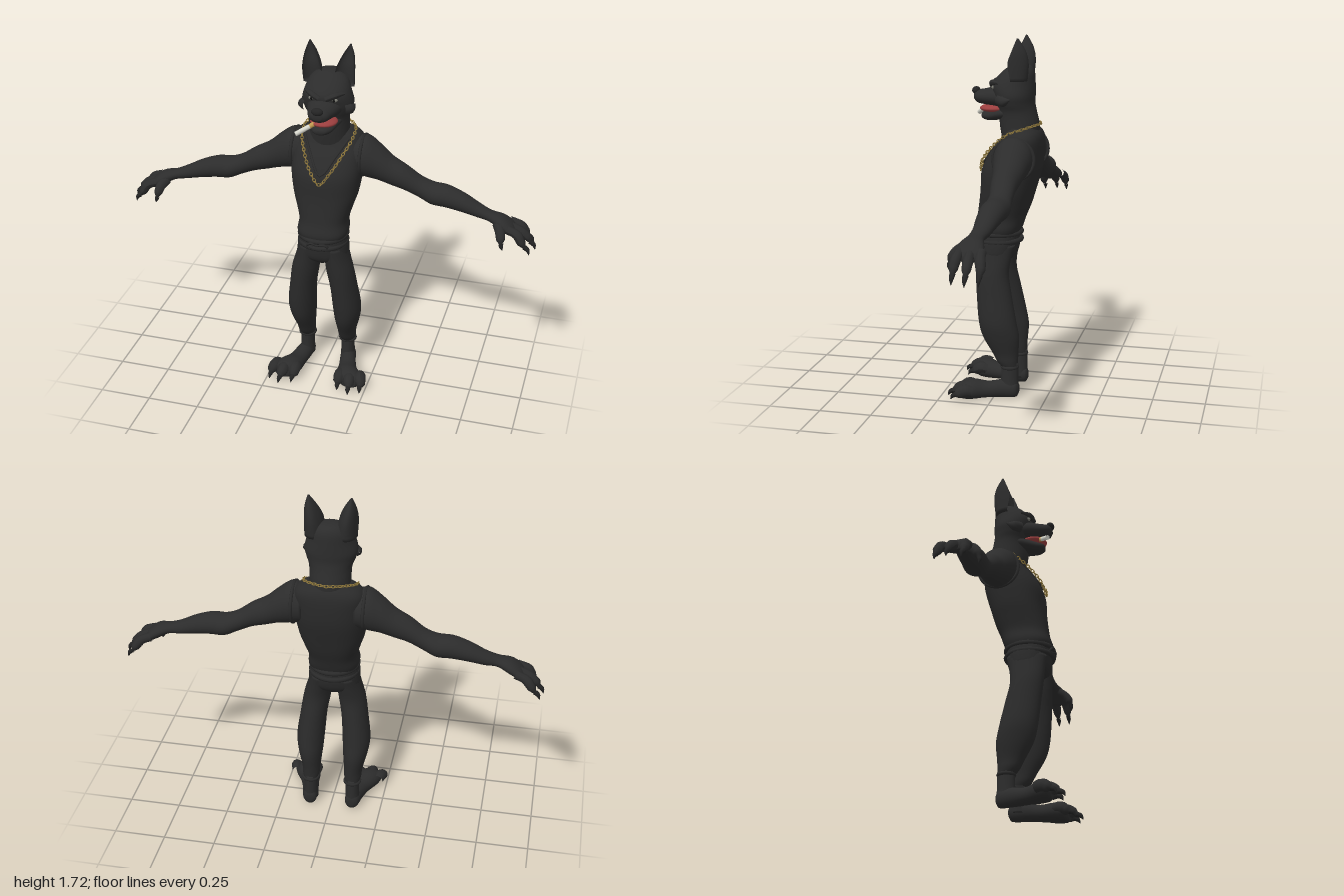
import * as THREE from 'three';

const mat = (name, color, extra = {}) => Object.assign(new THREE.MeshStandardMaterial({ color, ...extra }), { name });
const fur = mat('black fur', 0x2c2c2c);
const cloth = mat('black cloth', 0x2a2a2a);
const claw = mat('dark claw', 0x242424);
const gold = mat('gold', 0x8f783c);
const red = mat('mouth red', 0x9c3f3f);
const white = mat('paper white', 0xd6d6cc);
const tan = mat('filter tan', 0xc09a50);
const eyeGrey = mat('eye grey', 0x77776f);
const black = mat('pupil black', 0x101010);

const V = (x, y, z) => new THREE.Vector3(x, y, z);

// Smooth skin over rings [x, y, z, a, b] set square to one axis; rows must run along +axis.
// side mirrors x, power < 1 makes rings boxier, front scales the +z half (negative = hollow).
function loft(rows, axis = 'y', { side = 1, power = 1, front = 1, seg = 28, steps = 5 } = {}) {
  const mid = new THREE.CatmullRomCurve3(rows.map(r => V(r[0], r[1], r[2])), false, 'catmullrom');
  const rad = new THREE.CatmullRomCurve3(rows.map(r => V(r[3], r[4], 0)), false, 'catmullrom');
  const n = (rows.length - 1) * steps, pos = [], idx = [];
  for (let i = -1; i <= n + 1; i++) {
    const t = Math.min(Math.max(i / n, 0), 1), c = mid.getPoint(t), r = rad.getPoint(t);
    const k = i < 0 || i > n ? 0 : 1;
    for (let j = 0; j < seg; j++) {
      const q = j / seg * Math.PI * 2, cs = Math.cos(q), sn = Math.sin(q);
      const u = Math.sign(cs) * Math.abs(cs) ** power * Math.max(r.x, 0) * k;
      let v = Math.sign(sn) * Math.abs(sn) ** power * Math.max(r.y, 0) * k;
      if (axis === 'y' && v > 0) v *= front;
      const p = axis === 'y' ? V(c.x + u, c.y, c.z + v)
        : axis === 'x' ? V(c.x, c.y + u, c.z - v) : V(c.x + u, c.y - v, c.z);
      pos.push(p.x * side, Math.max(p.y, 0), p.z);
    }
  }
  for (let i = 0; i < n + 2; i++) for (let j = 0; j < seg; j++) {
    const a = i * seg + j, b = i * seg + (j + 1) % seg, c = a + seg, d = b + seg;
    if (side > 0) idx.push(a, c, b, b, c, d);
    else idx.push(a, b, c, b, d, c);
  }
  const g = new THREE.BufferGeometry();
  g.setAttribute('position', new THREE.Float32BufferAttribute(pos, 3));
  g.setIndex(idx);
  g.computeVertexNormals();
  return g;
}

// Tube along points whose radius follows a list.
function taper(points, radii, side = 1) {
  const curve = new THREE.CatmullRomCurve3(points.map(p => V(p[0] * side, p[1], p[2])));
  const n = 16, ring = 10, g = new THREE.TubeGeometry(curve, n, 1, ring);
  const p = g.attributes.position, v = V(0, 0, 0);
  for (let i = 0; i <= n; i++) {
    const f = i / n * (radii.length - 1), k = Math.min(Math.floor(f), radii.length - 2);
    const r = THREE.MathUtils.lerp(radii[k], radii[k + 1], f - k), c = curve.getPointAt(i / n);
    for (let j = 0; j <= ring; j++) {
      const m = i * (ring + 1) + j;
      v.fromBufferAttribute(p, m).sub(c).multiplyScalar(r).add(c);
      p.setXYZ(m, v.x, v.y, v.z);
    }
  }
  g.computeVertexNormals();
  return g;
}

export function createModel() {
  const model = new THREE.Group();
  model.name = 'dogFigure';
  const add = (name, geo, material) => {
    const m = new THREE.Mesh(geo, material);
    m.name = name;
    model.add(m);
    return m;
  };
  const blob = (name, material, x, y, z, rx, ry, rz) => {
    const m = add(name, new THREE.SphereGeometry(1, 20, 14), material);
    m.position.set(x, y, z);
    m.scale.set(rx, ry, rz);
    return m;
  };

  // Tank top
  add('tankTop', loft([[0, 0.79, 0.01, 0.116, 0.105], [0, 0.82, 0.006, 0.122, 0.114], [0, 0.87, -0.01, 0.117, 0.115],
    [0, 0.93, -0.027, 0.133, 0.122], [0, 1.0, -0.042, 0.154, 0.128], [0, 1.1, -0.06, 0.168, 0.138],
    [0, 1.18, -0.085, 0.169, 0.122], [0, 1.24, -0.11, 0.166, 0.096], [0, 1.275, -0.115, 0.145, 0.08],
    [0, 1.3, -0.112, 0.1, 0.06]], 'y', { power: 0.8, seg: 40 }), cloth);
  add('neckline', taper([[-0.105, 1.27, -0.045], [-0.06, 1.2, 0.018], [0, 1.12, 0.077], [0.06, 1.2, 0.018], [0.105, 1.27, -0.045]],
    [0.006, 0.006]), cloth);

  // Trousers
  add('hips', loft([[0, 0.645, 0.012, 0.03, 0.05], [0, 0.68, 0.012, 0.115, 0.088], [0, 0.73, 0.01, 0.124, 0.103],
    [0, 0.79, 0.01, 0.115, 0.105]], 'y', { power: 0.9 }), cloth);
  for (const y of [0.757, 0.793]) {
    const band = add('waistband', new THREE.TorusGeometry(0.112, 0.012, 8, 40), cloth);
    band.rotation.x = Math.PI / 2;
    band.position.set(0, y, 0.01);
  }
  for (const s of [-1, 1])
    add('drawstring', taper([[0, 0.775, 0.125], [0.03, 0.785, 0.128], [0.05, 0.765, 0.118], [0.02, 0.762, 0.128]], [0.006, 0.006], s), cloth);

  // Head, muzzle and jaw
  add('neckAndHead', loft([[0, 1.2, -0.1, 0.1, 0.08], [0, 1.3, -0.095, 0.096, 0.093], [0, 1.37, -0.085, 0.098, 0.088],
    [0, 1.41, -0.075, 0.112, 0.09], [0, 1.45, -0.07, 0.122, 0.096], [0, 1.5, -0.066, 0.11, 0.1],
    [0, 1.55, -0.085, 0.09, 0.078], [0, 1.58, -0.098, 0.055, 0.05], [0, 1.59, -0.1, 0.02, 0.02]]), fur);
  add('muzzle', loft([[0, 1.435, -0.04, 0.09, 0.055], [0, 1.437, 0.02, 0.075, 0.047], [0, 1.435, 0.07, 0.058, 0.037],
    [0, 1.435, 0.105, 0.045, 0.03], [0, 1.437, 0.122, 0.022, 0.016]], 'z'), fur);
  add('lowerJaw', loft([[0, 1.37, -0.06, 0.085, 0.035], [0, 1.36, 0, 0.068, 0.032], [0, 1.348, 0.05, 0.05, 0.025],
    [0, 1.347, 0.08, 0.03, 0.016], [0, 1.349, 0.088, 0.01, 0.006]], 'z'), fur);
  blob('mouth', red, 0.008, 1.383, 0.03, 0.064, 0.019, 0.064);
  blob('nose', claw, 0, 1.462, 0.115, 0.028, 0.018, 0.019);

  for (const s of [-1, 1]) {
    // Face
    blob('eye', eyeGrey, s * 0.054, 1.485, 0.018, 0.015, 0.009, 0.012);
    blob('pupil', black, s * 0.053, 1.485, 0.027, 0.006, 0.007, 0.005);
    add('brow', taper([[0.015, 1.49, 0.035], [0.05, 1.506, 0.026], [0.092, 1.51, -0.012]], [0.012, 0.014, 0.006], s), fur);
    add('cheekTuft', taper([[0.085, 1.43, -0.02], [0.112, 1.428, -0.04], [0.128, 1.438, -0.075]], [0.028, 0.024, 0.001], s), fur);
    add('ear', loft([[0.072, 1.52, -0.075, 0.048, 0.07], [0.079, 1.6, -0.062, 0.043, 0.09], [0.088, 1.66, -0.08, 0.028, 0.06],
      [0.096, 1.715, -0.1, 0.003, 0.008]], 'y', { side: s, front: -0.35 }), fur);

    // Arm with palm
    add('arm', loft([[0.12, 1.17, -0.1, 0.09, 0.085], [0.18, 1.17, -0.1, 0.102, 0.09], [0.24, 1.145, -0.1, 0.087, 0.078],
      [0.3, 1.11, -0.1, 0.07, 0.066], [0.37, 1.08, -0.1, 0.06, 0.058], [0.44, 1.04, -0.105, 0.051, 0.053],
      [0.5, 1.015, -0.105, 0.053, 0.06], [0.57, 1.01, -0.1, 0.053, 0.058], [0.65, 0.99, -0.095, 0.045, 0.05],
      [0.72, 0.965, -0.09, 0.034, 0.04], [0.78, 0.948, -0.08, 0.026, 0.036], [0.84, 0.925, -0.075, 0.034, 0.056],
      [0.885, 0.9, -0.075, 0.028, 0.058], [0.905, 0.89, -0.075, 0.012, 0.03]], 'x', { side: s }), fur);
    const trim = add('armhole', new THREE.TorusGeometry(0.097, 0.008, 8, 32), cloth);
    trim.rotation.y = Math.PI / 2;
    trim.position.set(s * 0.166, 1.17, -0.1);

    // Fingers and thumb, each with a claw
    [[-0.125, -0.14, 0.975], [-0.08, -0.085, 0.99], [-0.035, -0.025, 0.97]].forEach(([z0, z1, x]) => {
      add('finger', taper([[0.865, 0.912, z0], [0.915, 0.892, (z0 + z1) / 2], [x - 0.035, 0.862, z1], [x - 0.012, 0.828, z1]],
        [0.022, 0.021, 0.023, 0.02, 0.004], s), fur);
      add('fingerClaw', taper([[x - 0.018, 0.838, z1], [x, 0.822, z1], [x + 0.008, 0.797, z1]], [0.013, 0.01, 0.001], s), claw);
    });
    add('thumb', taper([[0.82, 0.925, -0.05], [0.838, 0.905, -0.015], [0.846, 0.875, 0.008], [0.85, 0.85, 0.014]],
      [0.024, 0.024, 0.023, 0.02, 0.004], s), fur);
    add('thumbClaw', taper([[0.849, 0.858, 0.013], [0.853, 0.842, 0.016], [0.858, 0.825, 0.014]], [0.012, 0.009, 0.001], s), claw);

    // Trouser leg, gathered cuff and ankle
    add('trouserLeg', loft([[0.105, 0.155, -0.07, 0.037, 0.042], [0.105, 0.18, -0.06, 0.043, 0.052], [0.106, 0.22, -0.05, 0.046, 0.064],
      [0.112, 0.3, -0.03, 0.06, 0.088], [0.114, 0.38, -0.013, 0.068, 0.09], [0.102, 0.5, 0.005, 0.065, 0.084],
      [0.086, 0.6, 0.018, 0.066, 0.079], [0.07, 0.68, 0.015, 0.06, 0.086], [0.06, 0.74, 0.01, 0.055, 0.095]], 'y', { side: s }), cloth);
    const cuff = add('cuff', new THREE.TorusGeometry(0.036, 0.009, 8, 24), cloth);
    cuff.rotation.x = Math.PI / 2;
    cuff.position.set(s * 0.105, 0.15, -0.072);
    add('ankle', loft([[0.107, 0.03, -0.07, 0.038, 0.046], [0.106, 0.08, -0.072, 0.034, 0.042], [0.105, 0.17, -0.073, 0.033, 0.04]], 'y', { side: s }), fur);

    // Foot turned outwards, three toes with claws
    add('foot', loft([[0.105, 0.04, -0.117, 0.015, 0.02], [0.107, 0.04, -0.1, 0.034, 0.042], [0.115, 0.04, -0.04, 0.04, 0.044],
      [0.132, 0.035, 0.03, 0.046, 0.04], [0.152, 0.038, 0.09, 0.062, 0.047], [0.164, 0.036, 0.135, 0.06, 0.042],
      [0.17, 0.03, 0.155, 0.03, 0.025]], 'z', { side: s }), fur);
    [[0.115, 0.115, 0.175], [0.165, 0.175, 0.198], [0.21, 0.228, 0.172]].forEach(([x0, x1, z]) => {
      add('toe', taper([[x0, 0.045, 0.09], [(x0 + x1) / 2, 0.05, z - 0.05], [x1, 0.036, z - 0.02], [x1, 0.025, z]],
        [0.026, 0.029, 0.029, 0.024, 0.005], s), fur);
      add('toeClaw', taper([[x1, 0.032, z - 0.015], [x1 + 0.002, 0.026, z + 0.005], [x1 + 0.004, 0.006, z + 0.018]], [0.013, 0.011, 0.001], s), claw);
    });
  }

  // Cigarette in the corner of the mouth
  const rod = (name, material, a, b, r) => {
    const m = add(name, new THREE.CylinderGeometry(r, r, a.distanceTo(b), 14), material);
    m.position.copy(a).lerp(b, 0.5);
    m.quaternion.setFromUnitVectors(V(0, 1, 0), b.clone().sub(a).normalize());
  };
  const tip = V(-0.1, 1.345, 0.125), joint = V(-0.045, 1.372, 0.085), end = V(-0.015, 1.387, 0.06);
  rod('cigarettePaper', white, joint, tip, 0.011);
  rod('cigaretteFilter', tan, end, joint, 0.0112);

  // Neck chain of alternating links
  const half = [[0.045, 1.135, 0.078], [0.09, 1.208, 0.022], [0.122, 1.272, -0.055], [0.112, 1.303, -0.135]];
  const loop = new THREE.CatmullRomCurve3([[0, 1.083, 0.092], ...half, [0, 1.315, -0.192],
    ...half.slice().reverse().map(([x, y, z]) => [-x, y, z])].map(p => V(...p)), true);
  const link = new THREE.TorusGeometry(0.0065, 0.0022, 6, 10).scale(1.5, 1, 1);
  for (let i = 0; i < 64; i++) {
    const m = add('chainLink', link, gold);
    m.position.copy(loop.getPointAt(i / 64));
    m.quaternion.setFromUnitVectors(V(1, 0, 0), loop.getTangentAt(i / 64));
    m.rotateX(i % 2 ? 0.8 : -0.8);
  }
  return model;
}
